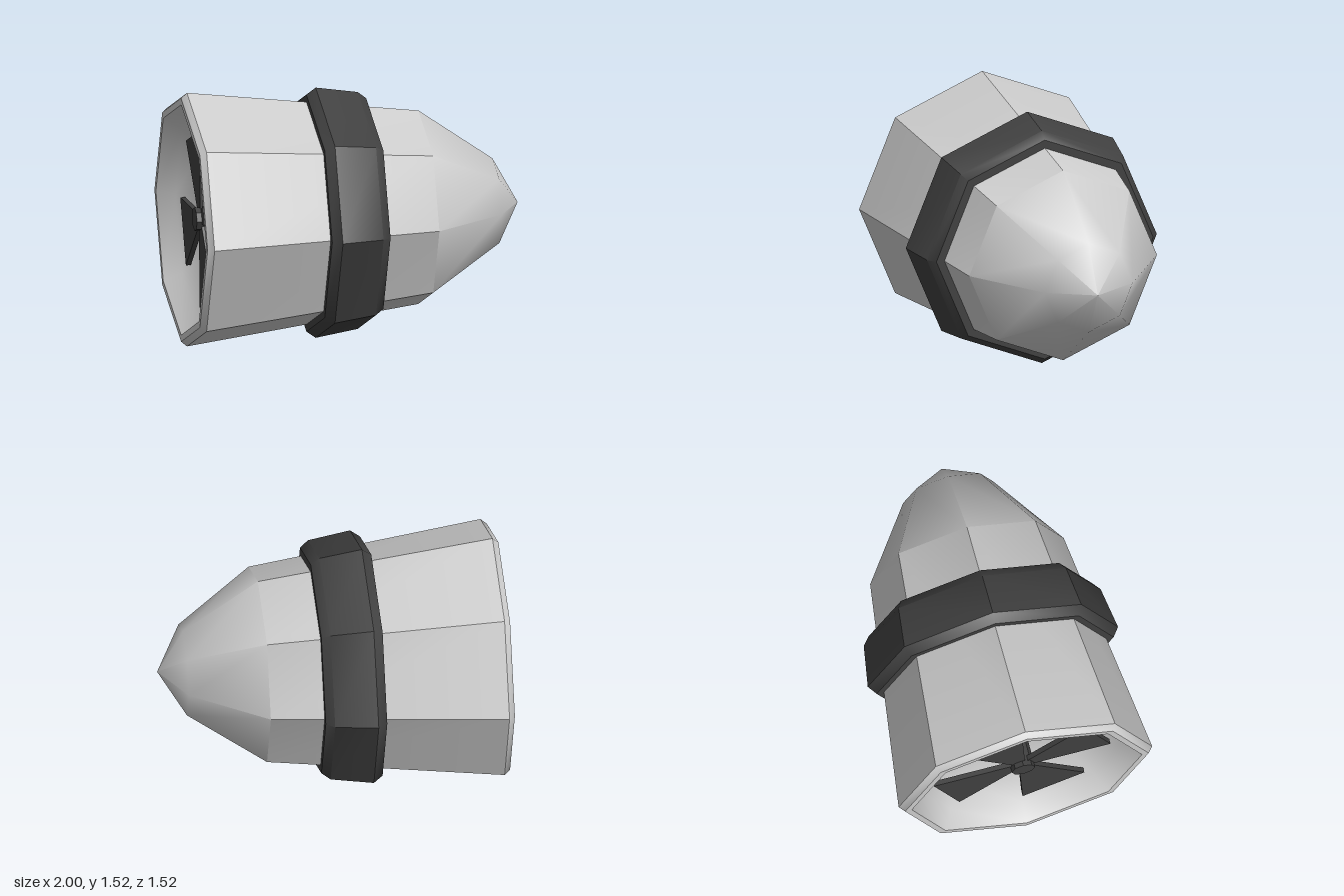
import * as THREE from 'three';
import { toCreasedNormals } from 'three/addons/utils/BufferGeometryUtils.js';

const SIDES = 8;
const AXIS_Y = 0.76;
const CREASE = THREE.MathUtils.degToRad(40);

const grey = new THREE.MeshStandardMaterial({ color: 0xcccccc });
const dark = new THREE.MeshStandardMaterial({ color: 0x404040 });

// Octagonal turned part along +x; profile is a list of [x, radius].
function turned(name, profile, material) {
  const points = profile.map(([x, r]) => new THREE.Vector2(r, x));
  const geometry = new THREE.LatheGeometry(points, SIDES);
  geometry.rotateZ(-Math.PI / 2);
  const mesh = new THREE.Mesh(toCreasedNormals(geometry, CREASE), material);
  mesh.name = name;
  return mesh;
}

// One flaring fan blade, lying in the yz plane and pointing along +z.
function bladeGeometry() {
  const shape = new THREE.Shape();
  shape.moveTo(-0.035, 0.04);
  shape.lineTo(0.035, 0.04);
  shape.lineTo(0.2, 0.49);
  shape.lineTo(-0.2, 0.49);
  shape.closePath();
  const geometry = new THREE.ExtrudeGeometry(shape, { depth: 0.03, bevelEnabled: false });
  geometry.rotateY(Math.PI / 2);
  geometry.rotateX(Math.PI / 2);
  return geometry;
}

export function createModel() {
  const model = new THREE.Group();
  model.name = 'enginePod';

  const pod = new THREE.Group();
  pod.name = 'pod';
  pod.position.y = AXIS_Y;
  model.add(pod);

  // Hull: hollow exhaust, rim, tapered body and pointed nose
  pod.add(turned('hull', [
    [-0.72, 0], [-0.74, 0.25], [-0.8, 0.48], [-0.9, 0.61], [-1, 0.69],
    [-1, 0.73], [-0.965, 0.76], [0.41, 0.58], [0.85, 0.27], [1, 0],
  ], grey));

  // Dark band around the middle
  pod.add(turned('band', [
    [-0.255, 0.62], [-0.255, 0.71], [-0.2, 0.75],
    [0.05, 0.71], [0.1, 0.67], [0.1, 0.58],
  ], dark));

  // Four-bladed fan inside the exhaust, blade tips in line with the hull corners
  const fan = new THREE.Group();
  fan.name = 'fan';
  fan.position.x = -0.89;
  pod.add(fan);
  const geometry = bladeGeometry();
  for (let i = 0; i < 4; i++) {
    const blade = new THREE.Mesh(geometry, dark);
    blade.name = 'fanBlade';
    blade.rotation.x = -Math.PI / 8 + i * Math.PI / 2;
    fan.add(blade);
  }
  fan.add(turned('fanHub', [[-0.03, 0], [-0.03, 0.07], [0.17, 0.07]], dark));

  return model;
}
